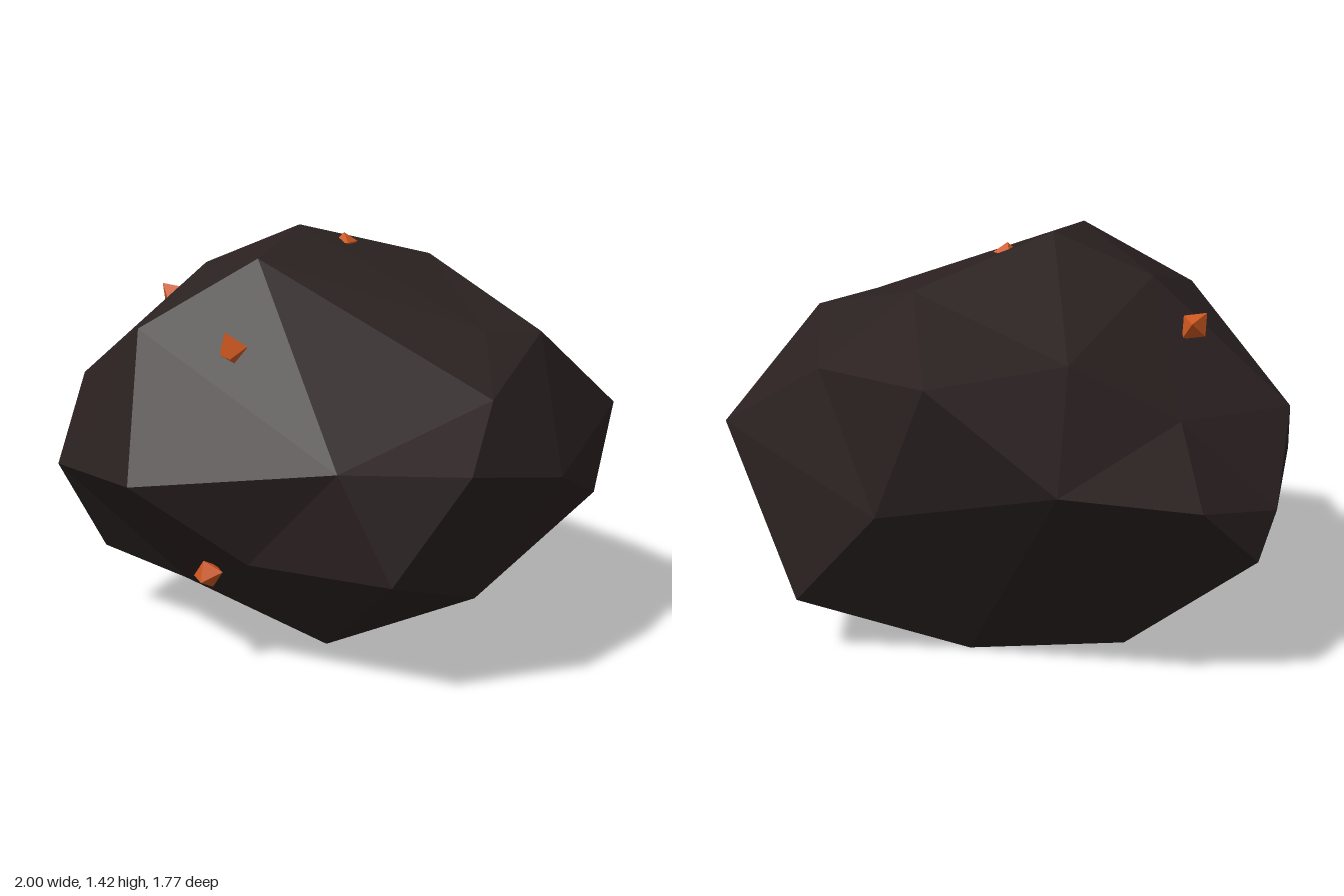
import * as THREE from 'three';
import { ConvexGeometry } from 'three/addons/geometries/ConvexGeometry.js';

// Corners of the boulder, from crown to base
const CORNERS = [
  // crown
  [-0.10, 1.42, -0.02], [0.12, 1.35, 0.38], [-0.38, 1.28, 0.17], [0.04, 1.29, -0.54],
  [-0.15, 1.12, 0.67], [0.64, 1.11, -0.16], [0.69, 1.09, -0.39], [-0.55, 1.14, -0.44],
  [-0.37, 1.13, -0.89], [0.22, 1.05, -0.80],
  // shoulders and waist
  [0.84, 0.93, 0.03], [-0.74, 0.92, -0.11], [-0.80, 0.86, 0.40], [-0.70, 0.80, -0.65],
  [0.65, 0.78, -0.86], [1.00, 0.75, 0.31], [0.66, 0.74, 0.55], [-0.98, 0.72, -0.29],
  [0.04, 0.65, 0.88], [0.92, 0.65, -0.23], [-0.10, 0.63, -0.86], [-0.95, 0.60, 0.14],
  [-0.61, 0.59, 0.67], [0.74, 0.50, -0.64], [-1.00, 0.48, -0.02],
  // underside
  [0.81, 0.39, 0.46], [0.30, 0.39, 0.60], [0.75, 0.25, 0.00], [-0.67, 0.235, 0.42],
  [0.30, 0.22, -0.87], [-0.23, 0.20, 0.41], [0.50, 0.17, -0.35], [0.36, 0.07, 0.30],
  [0.11, 0.06, -0.03], [-0.50, 0.05, -0.09], [-0.07, 0.00, -0.41],
].map((c) => new THREE.Vector3(...c));

// Joins the corners by wrapping them round an ellipsoid, then moves them back out, so hollows survive
function boulderGeometry() {
  const centre = new THREE.Vector3(0, 0.65, 0);
  const stretch = new THREE.Vector3(1, 0.72, 0.88);
  const directions = CORNERS.map((c) => c.clone().sub(centre).divide(stretch).normalize());
  const geometry = new ConvexGeometry(directions);
  const position = geometry.attributes.position;
  const p = new THREE.Vector3();
  for (let i = 0; i < position.count; i++) {
    p.fromBufferAttribute(position, i);
    let best = 0;
    directions.forEach((d, j) => {
      if (d.distanceToSquared(p) < directions[best].distanceToSquared(p)) best = j;
    });
    position.setXYZ(i, ...CORNERS[best].toArray());
  }
  geometry.computeVertexNormals();
  return geometry;
}

export function createModel() {
  const group = new THREE.Group();
  const rock = new THREE.MeshStandardMaterial({ color: 0x2b2121, flatShading: true });
  rock.name = 'dark rock';
  const ember = new THREE.MeshStandardMaterial({ color: 0xcc571f, flatShading: true });
  ember.name = 'orange crystal';

  const boulder = new THREE.Mesh(boulderGeometry(), rock);
  boulder.name = 'boulder';
  group.add(boulder);

  // Small crystals set into the surface: position, half sizes, rotation
  const crystals = [
    [[-0.57, 1.145, 0.16], [0.05, 0.06, 0.065], [0.4, 0.5, 0.5]],
    [[0.18, 1.07, 0.545], [0.05, 0.07, 0.06], [0.4, 0.6, 0.1]],
    [[0.09, 0.315, 0.585], [0.055, 0.05, 0.06], [0.3, 0.4, 0.1]],
    [[-0.005, 1.355, -0.15], [0.055, 0.035, 0.045], [0.1, -0.6, 0.1]],
    [[-0.73, 0.78, 0.43], [0.04, 0.05, 0.04], [0.3, 0.2, 0.4]],
  ];
  const gem = new THREE.OctahedronGeometry(1);
  crystals.forEach(([place, size, turn], i) => {
    const crystal = new THREE.Mesh(gem, ember);
    crystal.name = `crystal${i + 1}`;
    crystal.position.set(...place);
    crystal.scale.set(...size);
    crystal.rotation.set(...turn);
    group.add(crystal);
  });
  return group;
}
